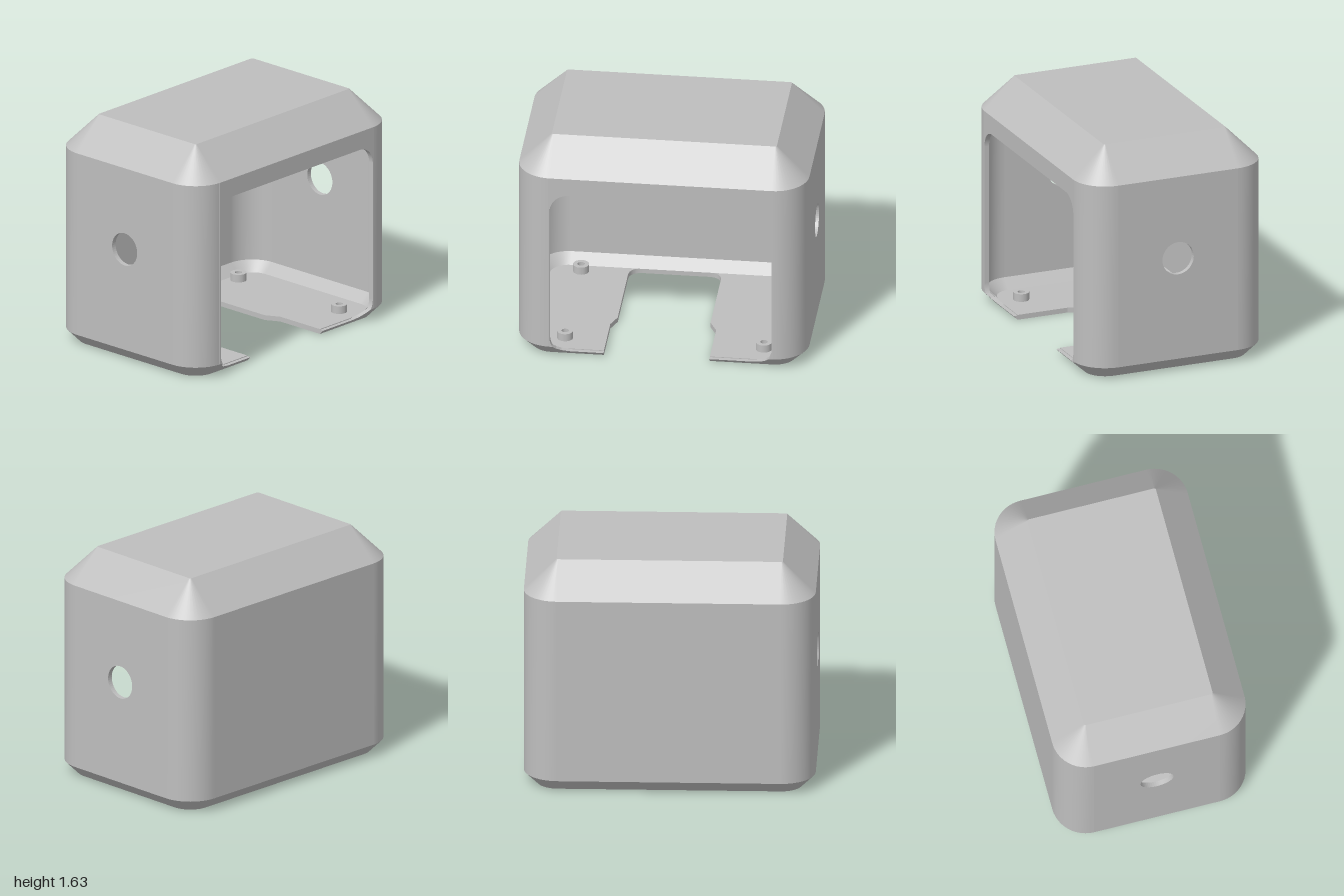
import * as THREE from 'three';

const HX = 0.68, HZ = 1, R = 0.235, T = 0.035; // half sizes, corner radius, wall thickness
const CX = HX - R, CZ = HZ - R;                // corner centres
const SEG = 12;
const grey = new THREE.MeshStandardMaterial({ color: 0xbebebe, side: THREE.DoubleSide });
grey.name = 'grey plastic';

// Rounded rectangle in plan, moved inwards by inset
function ring(inset) {
  const pts = [], r = R - inset;
  [[1, 1], [-1, 1], [-1, -1], [1, -1]].forEach(([sx, sz], k) => {
    for (let i = 0; i <= SEG; i++) {
      const a = (k + i / SEG) * Math.PI / 2;
      pts.push([sx * CX + r * Math.cos(a), sz * CZ + r * Math.sin(a)]);
    }
  });
  return pts;
}

// Skin between two rings; flats: 0 front, 1 left-out (-x), 2 back, 3 open side (+x)
function band([y0, in0], [y1, in1], skip, inward) {
  const lo = ring(in0), hi = ring(in1), n = lo.length, pos = [], idx = [];
  for (let i = 0; i < n; i++) pos.push(lo[i][0], y0, lo[i][1], hi[i][0], y1, hi[i][1]);
  for (let i = 0; i < n; i++) {
    const flat = i % (SEG + 1) === SEG ? Math.floor(i / (SEG + 1)) : -1;
    if (skip.includes(flat)) continue;
    const a = 2 * i, b = 2 * ((i + 1) % n);
    if (inward) idx.push(a, b, b + 1, a, b + 1, a + 1);
    else idx.push(b, a, a + 1, b, a + 1, b + 1);
  }
  const g = new THREE.BufferGeometry();
  g.setAttribute('position', new THREE.Float32BufferAttribute(pos, 3));
  g.setIndex(idx);
  g.computeVertexNormals();
  return g;
}

const plate = (shape, depth = T) =>
  new THREE.ExtrudeGeometry(shape, { depth, bevelEnabled: false, curveSegments: 24 });

const polygon = (pts) => new THREE.Shape(pts.map(([x, y]) => new THREE.Vector2(x, y)));

function circleHole(x, y, r) {
  const p = new THREE.Path();
  p.absarc(x, y, r, 0, Math.PI * 2, true);
  return p;
}

export function createModel() {
  const model = new THREE.Group();
  model.name = 'housing';
  const add = (name, geometry) => {
    const m = new THREE.Mesh(geometry, grey);
    m.name = name;
    model.add(m);
    return m;
  };

  // Chamfers and walls, outside and inside
  const outer = [[0, 0.09], [0.09, 0], [1.41, 0], [1.635, 0.225]];
  const inner = [[T, 0.104], [0.104, T], [1.3955, T], [1.6, 0.234]];
  const names = ['bottomChamfer', 'wall', 'topChamfer'];
  const skips = [[3], [0, 2, 3], []];
  names.forEach((name, i) => {
    add(name + 'Outside', band(outer[i], outer[i + 1], skips[i], false));
    add(name + 'Inside', band(inner[i], inner[i + 1], skips[i], true));
  });

  // Roof
  add('roof', plate(polygon(ring(0.225))).rotateX(-Math.PI / 2).translate(0, 1.6, 0));

  // End walls, each with a round hole
  for (const end of [0, 1]) {
    const s = polygon([[-CX, 0.09], [CX, 0.09], [CX, 1.41], [-CX, 1.41]]);
    s.holes.push(circleHole(0, 0.82, 0.117));
    add(end ? 'backWall' : 'frontWall', plate(s).translate(0, 0, HZ - T).rotateY(end * Math.PI));
  }

  // Side wall framing the large opening
  const w = CZ, e = CZ + 0.01, top = 1.28, r = 0.13;
  const side = new THREE.Shape();
  side.moveTo(-e, 0.09);
  side.lineTo(-e, 1.41);
  side.lineTo(e, 1.41);
  side.lineTo(e, 0.09);
  side.lineTo(0.745, 0.09);
  side.quadraticCurveTo(w, 0.12, w, 0.16);
  side.lineTo(w, top - r);
  side.absarc(w - r, top - r, r, 0, Math.PI / 2, false);
  side.absarc(r - w, top - r, r, Math.PI / 2, Math.PI, false);
  side.lineTo(-w, 0.16);
  side.quadraticCurveTo(-w, 0.12, -0.745, 0.09);
  side.closePath();
  add('openSideWall', plate(side).rotateY(Math.PI / 2).translate(HX - T, 0, 0));

  // Sloping sill on each side of the floor gap
  const gapFront = 0.4, gapBack = -0.33;
  for (const [s, gap] of [[-1, gapFront], [1, -gapBack]]) {
    const g = plate(polygon([[w, 0.09], [0.745, 0.09], [0.725, 0.065], [0.69, 0.042], [0.635, 0.03],
      [gap, 0.03], [gap, 0], [w, 0]].map(([u, y]) => [s * u, y])));
    g.rotateY(Math.PI / 2).translate(HX - 0.09 - T, 0, 0);
    const p = g.attributes.position;
    for (let i = 0; i < p.count; i++) p.setX(i, p.getX(i) + p.getY(i));
    g.computeVertexNormals();
    add('sill', g);
  }

  // Floor with a stepped gap open to the side (shape y is -z)
  const fx = HX - 0.09, fr = R - 0.09, end = -0.58, c = 0.1;
  const floor = new THREE.Shape();
  floor.moveTo(fx, -gapFront);
  floor.lineTo(0.22, -gapFront);
  floor.lineTo(0.12, -0.36);
  floor.lineTo(end + c, -0.36);
  floor.quadraticCurveTo(end, -0.36, end, -0.36 + c);
  floor.lineTo(end, 0.28 - c);
  floor.quadraticCurveTo(end, 0.28, end + c, 0.28);
  floor.lineTo(0.12, 0.28);
  floor.lineTo(0.22, -gapBack);
  floor.lineTo(fx, -gapBack);
  floor.absarc(CX, CZ, fr, 0, Math.PI / 2, false);
  floor.absarc(-CX, CZ, fr, Math.PI / 2, Math.PI, false);
  floor.absarc(-CX, -CZ, fr, Math.PI, Math.PI * 1.5, false);
  floor.absarc(CX, -CZ, fr, Math.PI * 1.5, Math.PI * 2, false);
  floor.closePath();

  // Hollow screw posts standing over holes in the floor
  const ring2 = new THREE.Shape();
  ring2.absarc(0, 0, 0.055, 0, Math.PI * 2, false);
  ring2.holes.push(circleHole(0, 0, 0.025));
  const post = plate(ring2, 0.055).rotateX(-Math.PI / 2);
  for (const x of [0.44, -0.5]) for (const z of [0.685, -0.685]) {
    floor.holes.push(circleHole(x, -z, 0.025));
    add('screwPost', post).position.set(x, T, z);
  }
  add('floor', plate(floor).rotateX(-Math.PI / 2));

  return model;
}
